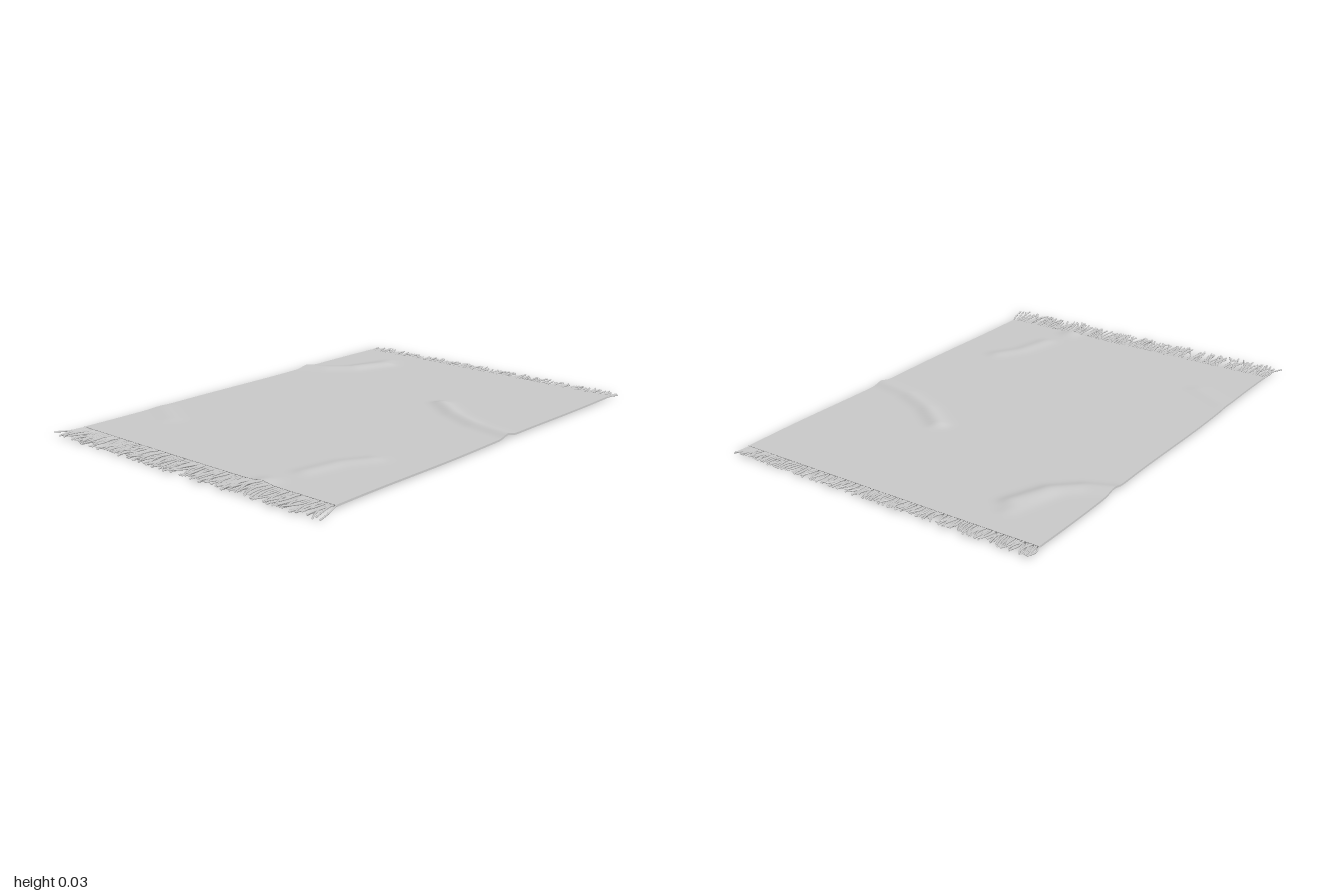
import * as THREE from 'three';
import { mergeGeometries } from 'three/addons/utils/BufferGeometryUtils.js';

const BACK = -0.92, FRONT = 0.855, HALF = 0.675, THICK = 0.008, MID = 0.009;

// Small seeded generator, returns -1..1
let seed = 7;
const rand = () => {
  seed = (seed * 16807) % 2147483647;
  return (seed / 2147483647) * 2 - 1;
};

// Creases in the cloth: polyline of [x, z], height and width
const creases = [
  { pts: [[-0.72, -0.42], [-0.58, -0.48], [-0.48, -0.57], [-0.42, -0.72]], h: 0.011, w: 0.035 },
  { pts: [[-0.5, -0.6], [-0.45, -0.78]], h: 0.004, w: 0.03 },
  { pts: [[0.2, -0.35], [0.34, -0.25], [0.5, -0.18], [0.72, -0.14]], h: 0.012, w: 0.032 },
  { pts: [[0.37, 0.68], [0.4, 0.52], [0.46, 0.42]], h: 0.006, w: 0.035 },
  { pts: [[-0.66, 0.47], [-0.5, 0.56]], h: 0.003, w: 0.04 },
  { pts: [[0.33, 0.84], [0.33, 0.95]], h: 0.008, w: 0.04 },
];

function segmentDistance(x, z, [ax, az], [bx, bz]) {
  const dx = bx - ax, dz = bz - az;
  const t = THREE.MathUtils.clamp(((x - ax) * dx + (z - az) * dz) / (dx * dx + dz * dz), 0, 1);
  return Math.hypot(x - ax - dx * t, z - az - dz * t);
}

// Lift of the cloth above its resting height
function lift(x, z) {
  let y = 0.001 * Math.sin(z * 4 + 1) * Math.cos(x * 3);
  for (const { pts, h, w } of creases) {
    let d = Infinity;
    for (let i = 1; i < pts.length; i++) d = Math.min(d, segmentDistance(x, z, pts[i - 1], pts[i]));
    y += h * Math.exp(-((d / w) ** 2));
  }
  return y;
}

// Slightly uneven side edges
const edge = (x, z) => x * (1 + 0.004 * Math.sin(z * 7)) - (x > 0 ? 0.004 * z * x : 0);

function clothGeometry() {
  const geo = new THREE.BoxGeometry(HALF * 2, THICK, FRONT - BACK, 80, 1, 110);
  geo.translate(0, MID, (FRONT + BACK) / 2);
  const p = geo.attributes.position;
  for (let i = 0; i < p.count; i++) {
    const x = p.getX(i), z = p.getZ(i);
    p.setXYZ(i, edge(x, z), p.getY(i) + lift(x, z), z);
  }
  geo.computeVertexNormals();
  return geo;
}

// A row of loose, bent threads along one end of the cloth
function fringeGeometry(zEdge, dir, length, splay, count) {
  const threads = [];
  for (let i = 0; i < count; i++) {
    const u = (i / (count - 1)) * 2 - 1;
    const x = edge(u * (HALF - 0.003), zEdge);
    const y = MID + lift(x, zEdge);
    const len = length * (0.93 + 0.07 * rand());
    const lean = rand() * length * 0.3 + splay * Math.sign(u) * Math.abs(u) ** 16;
    const curl = rand() * length * 0.12;
    const tipY = Math.max(0.004, y + 0.002 + rand() * 0.007);
    const path = new THREE.CatmullRomCurve3([
      new THREE.Vector3(x, y, zEdge - dir * 0.006),
      new THREE.Vector3(x + lean * 0.4 + curl, (y + tipY) / 2 + rand() * 0.003, zEdge + dir * len * 0.5),
      new THREE.Vector3(x + lean, tipY, zEdge + dir * len),
    ]);
    threads.push(new THREE.TubeGeometry(path, 4, 0.0034, 5, false));
  }
  return mergeGeometries(threads);
}

export function createModel() {
  seed = 7;
  const group = new THREE.Group();
  group.name = 'rug';
  const material = new THREE.MeshStandardMaterial({ color: 0xcccccc });
  const threadMaterial = new THREE.MeshStandardMaterial({ color: 0xcccccc, side: THREE.DoubleSide });
  const add = (name, geo, mat) => {
    const mesh = new THREE.Mesh(geo, mat);
    mesh.name = name;
    group.add(mesh);
  };
  add('cloth', clothGeometry(), material);
  add('frontFringe', fringeGeometry(FRONT, 1, 0.135, 0.03, 170), threadMaterial);
  add('backFringe', fringeGeometry(BACK, -1, 0.07, 0.008, 170), threadMaterial);
  return group;
}
